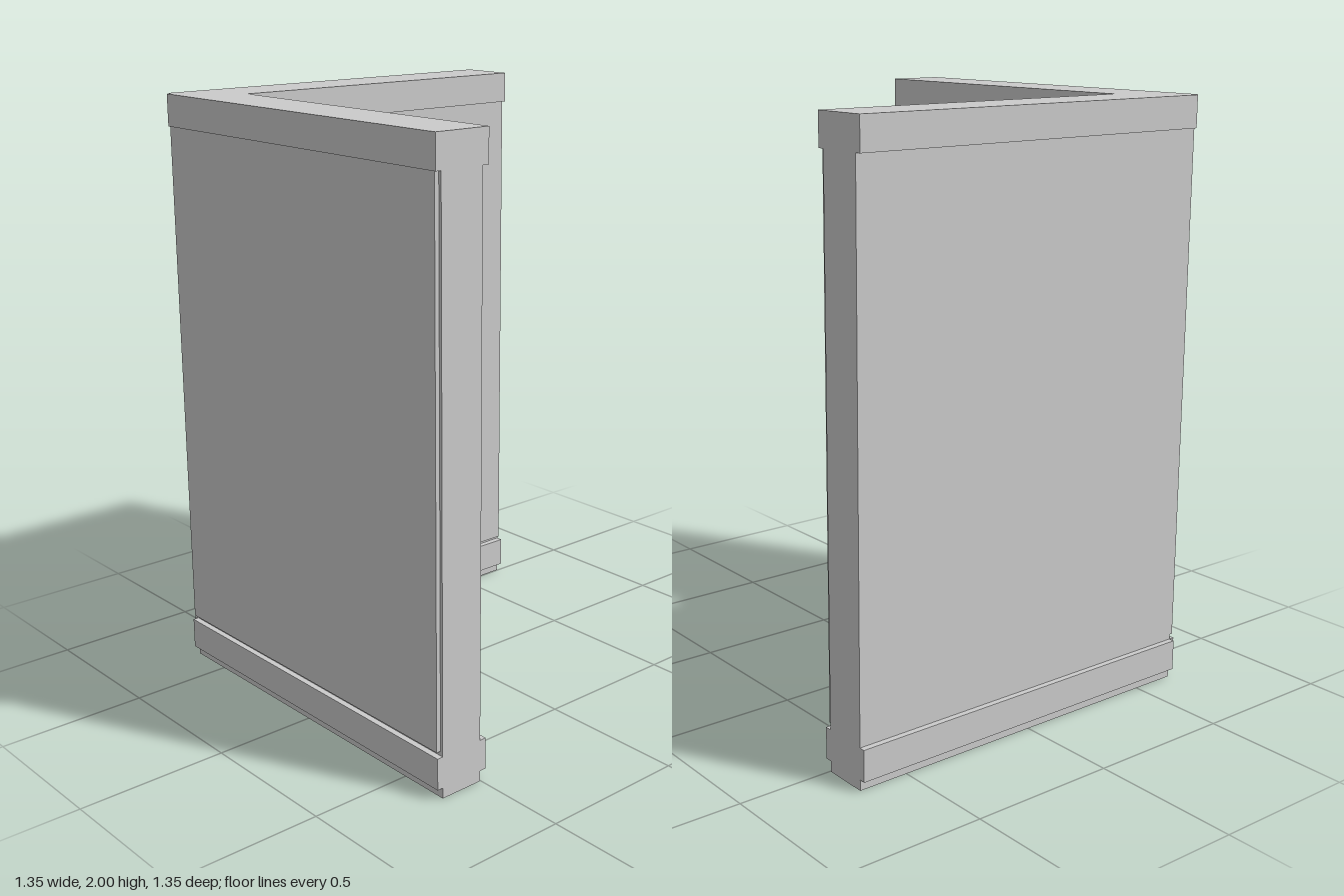
import * as THREE from 'three';

const END = 0.675; // free ends of both wall arms
const material = new THREE.MeshStandardMaterial({ color: 0xcccccc, flatShading: true });

// Extrudes a plan outline of [x, z] corners from height y0 up to y1.
function slab(name, outline, y0, y1) {
  const shape = new THREE.Shape(outline.map(([x, z]) => new THREE.Vector2(x, -z)));
  const geometry = new THREE.ExtrudeGeometry(shape, { depth: y1 - y0, bevelEnabled: false });
  geometry.rotateX(-Math.PI / 2).translate(0, y0, 0);
  const mesh = new THREE.Mesh(geometry, material);
  mesh.name = name;
  return mesh;
}

// L-shaped plan between an outer and an inner face; notch cuts the outer corner.
function cornerPlan(outer, inner, notch = 0) {
  const corner = notch
    ? [[-outer, outer - notch], [-outer + notch, outer - notch], [-outer + notch, outer]]
    : [[-outer, outer]];
  return [[-outer, -END], ...corner, [END, outer], [END, inner], [-inner, inner], [-inner, -END]];
}

// Rectangular plan for a facing panel.
const rectPlan = (x0, x1, z0, z1) => [[x0, z0], [x0, z1], [x1, z1], [x1, z0]];

export function createModel() {
  const group = new THREE.Group();
  group.name = 'cornerWall';

  const core = cornerPlan(0.655, 0.503);
  const trim = cornerPlan(0.675, 0.48, 0.02);

  group.add(
    // Stacked wall sections
    slab('base', core, 0, 0.035),
    slab('bottomTrim', trim, 0.035, 0.14),
    slab('wallCore', core, 0.14, 1.895),
    slab('topTrim', trim, 1.895, 2),
    // Raised facings, one on each arm
    slab('frontPanel', rectPlan(-0.652, 0.665, 0.65, 0.67), 0.155, 1.895),
    slab('sidePanel', rectPlan(-0.51, -0.485, -0.665, 0.505), 0.155, 1.895),
  );
  return group;
}
